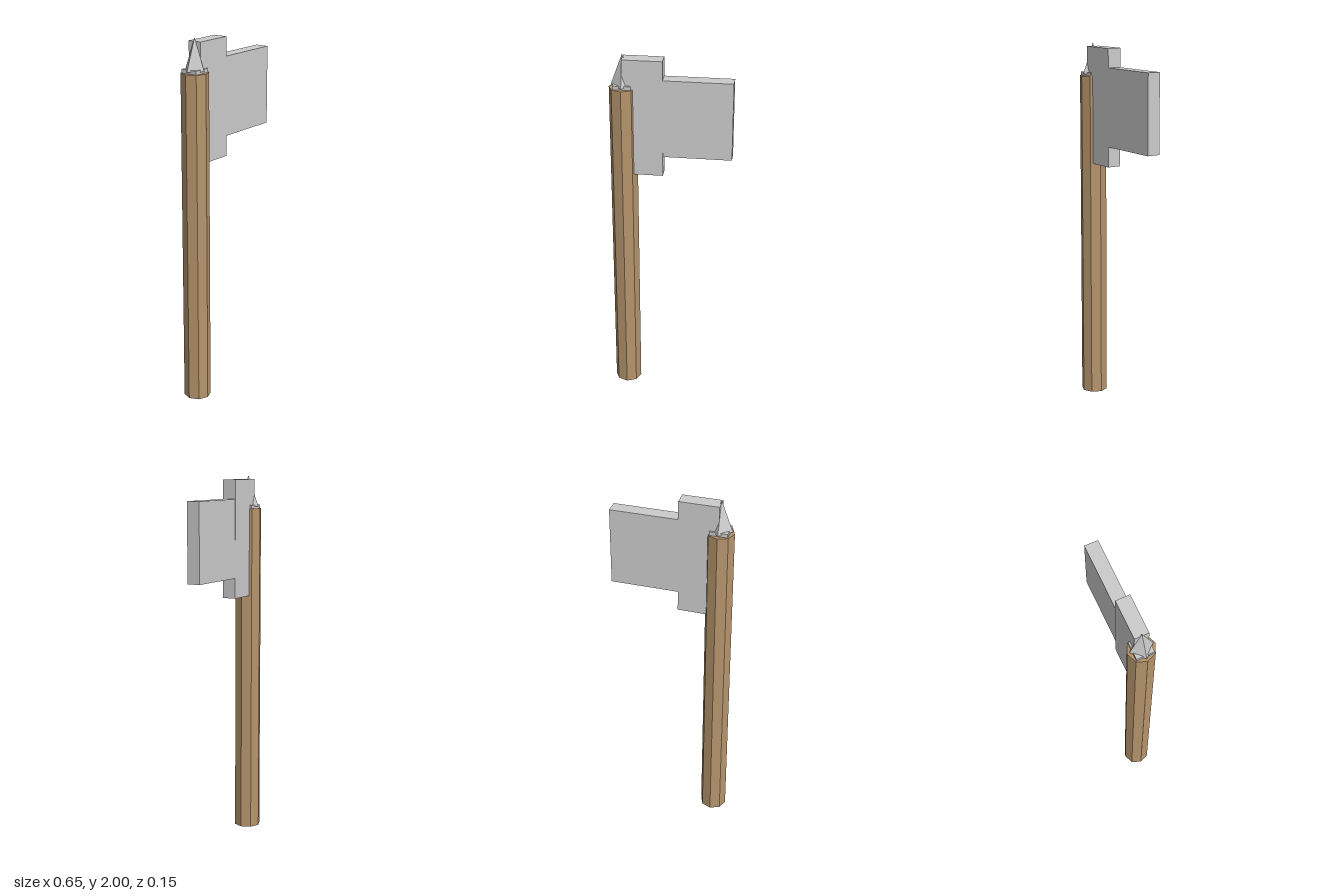
import * as THREE from 'three';

export function createModel() {
  const axe = new THREE.Group();
  axe.name = 'axe';

  const wood = new THREE.MeshStandardMaterial({ color: 0xb6956d, flatShading: true });
  const metal = new THREE.MeshStandardMaterial({ color: 0xcccccc, flatShading: true });
  const handleX = -0.252;

  const add = (name, geometry, material, x, y) => {
    const mesh = new THREE.Mesh(geometry, material);
    mesh.name = name;
    mesh.position.set(x, y, 0);
    axe.add(mesh);
  };

  // Box given by its x and y limits, centred on z
  const addBox = (name, x0, x1, y0, y1, depth) =>
    add(name, new THREE.BoxGeometry(x1 - x0, y1 - y0, depth), metal, (x0 + x1) / 2, (y0 + y1) / 2);

  // Octagonal shaft
  add('handle', new THREE.CylinderGeometry(0.073, 0.073, 1.82, 8), wood, handleX, 0.91);

  // Cap and four-sided spike on top of the shaft
  addBox('cap', handleX - 0.048, handleX + 0.048, 1.79, 1.84, 0.096);
  add('spike', new THREE.ConeGeometry(0.063, 0.17, 4), metal, handleX, 1.915);

  // Head: tall cheek set into the shaft, then the slightly thinner blade
  addBox('cheek', handleX, -0.04, 1.34, 1.98, 0.077);
  addBox('blade', -0.08, 0.325, 1.45, 1.877, 0.073);

  return axe;
}
